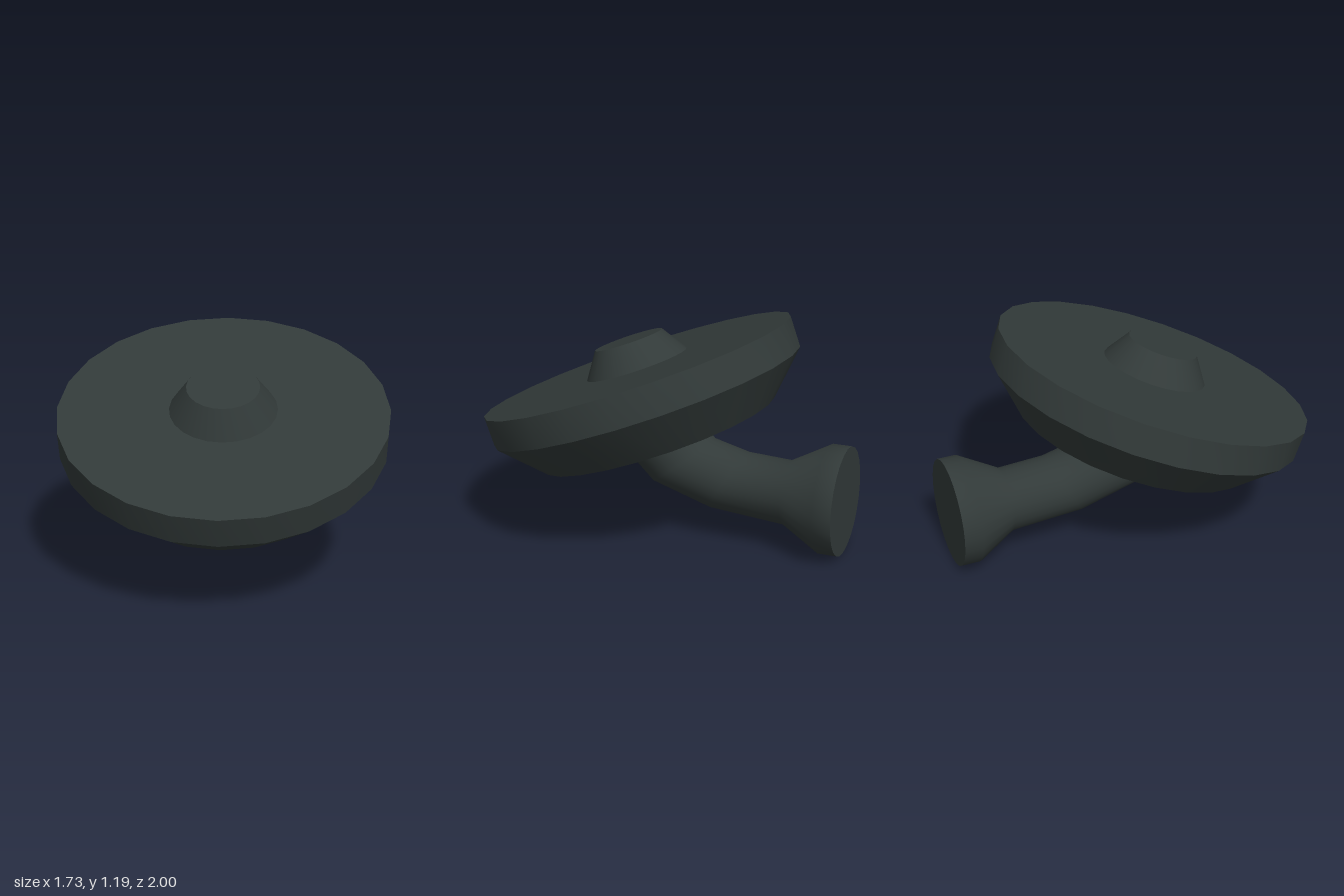
import * as THREE from 'three';
import { toCreasedNormals } from 'three/addons/utils/BufferGeometryUtils.js';

const SIDES = 24;

// Turned part with sharp edges, profile given bottom to top as [radius, y]
function turned(profile) {
  const points = profile.map(([r, y]) => new THREE.Vector2(r, y));
  return toCreasedNormals(new THREE.LatheGeometry(points, SIDES), 0.5);
}

// Smooth pipe through rings [bottomZ, bottomY, topZ, topY, halfWidth], running back to front
function pipe(rings) {
  const positions = [];
  const index = [];
  rings.forEach(([bz, by, tz, ty, w], s) => {
    for (let i = 0; i < SIDES; i++) {
      const a = (i / SIDES) * Math.PI * 2;
      const c = Math.cos(a) / 2;
      positions.push(w * Math.sin(a), (by + ty) / 2 + (ty - by) * c, (bz + tz) / 2 + (tz - bz) * c);
      if (s === rings.length - 1) continue;
      const p = s * SIDES + i;
      const q = s * SIDES + ((i + 1) % SIDES);
      index.push(p, p + SIDES, q, q, p + SIDES, q + SIDES);
    }
  });
  const geometry = new THREE.BufferGeometry();
  geometry.setAttribute('position', new THREE.Float32BufferAttribute(positions, 3));
  geometry.setIndex(index);
  geometry.computeVertexNormals();
  return geometry;
}

export function createModel() {
  const model = new THREE.Group();
  const darkMetal = new THREE.MeshStandardMaterial({ color: 0x323a39 });
  darkMetal.name = 'dark grey metal';

  const add = (parent, name, geometry) => {
    const mesh = new THREE.Mesh(geometry, darkMetal);
    mesh.name = name;
    parent.add(mesh);
    return mesh;
  };

  // Tilted head: dish with a raised boss on its face
  const head = new THREE.Group();
  head.name = 'head';
  head.position.set(0, 0.8975, 0.185);
  head.rotation.x = THREE.MathUtils.degToRad(20);
  model.add(head);
  add(head, 'dish', turned([[0, -0.386], [0.657, -0.386], [0.867, -0.165], [0.867, 0], [0, 0]]));
  add(head, 'boss', turned([[0.283, 0], [0.19, 0.14], [0, 0.14]]));

  // Curved neck flaring into a flange at the back
  add(model, 'neck', pipe([
    [-1, 0, -1, 0.58, 0.288],
    [-0.9, 0, -0.9, 0.58, 0.288],
    [-0.69, 0.12, -0.69, 0.465, 0.173],
    [-0.27, 0.155, -0.45, 0.475, 0.18],
    [0.07, 0.265, -0.26, 0.52, 0.19],
    [0.26, 0.457, -0.16, 0.612, 0.2],
  ]));
  const cap = add(model, 'flangeCap', new THREE.CircleGeometry(0.289, SIDES));
  cap.rotation.y = Math.PI;
  cap.position.set(0, 0.29, -1);

  return model;
}
